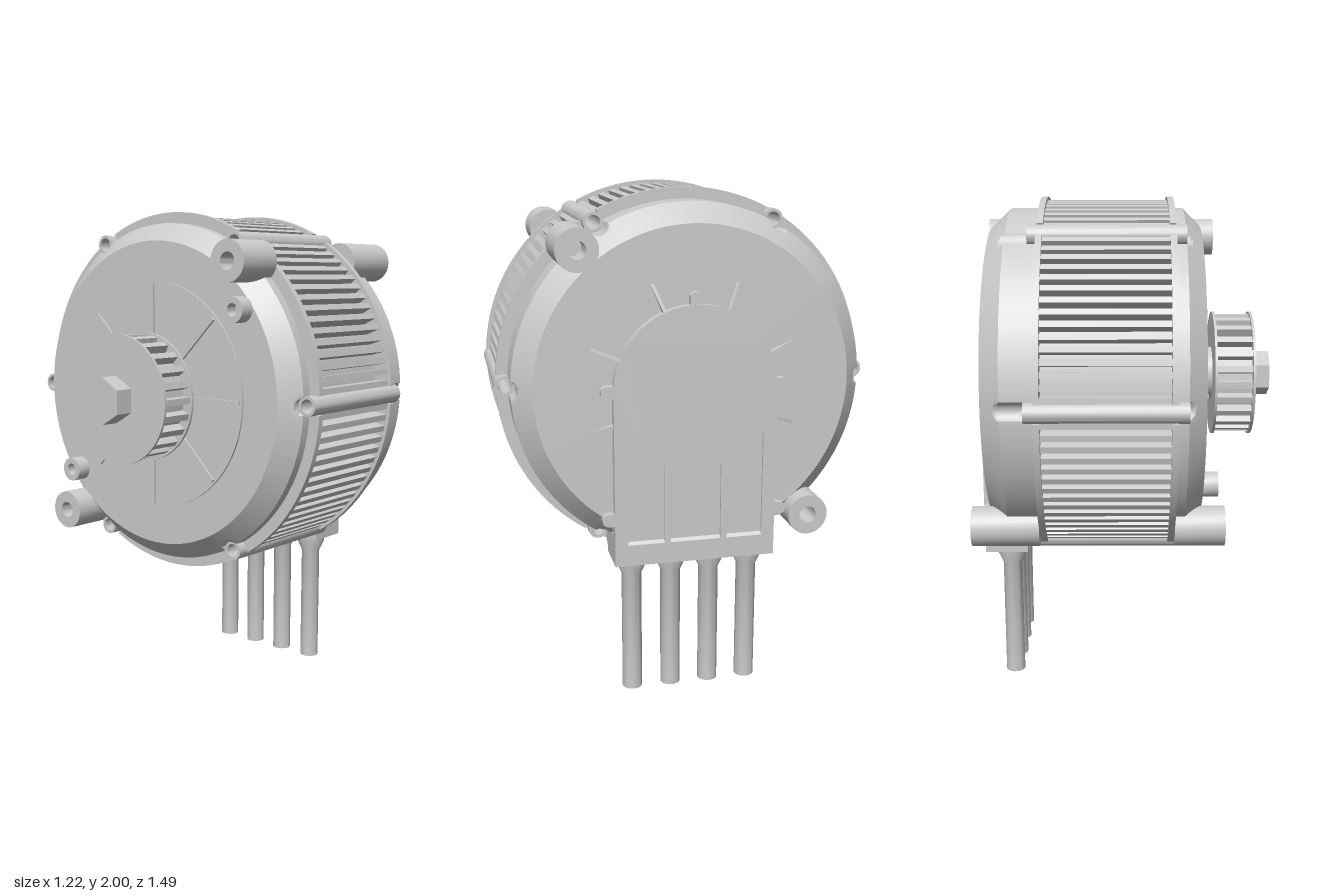
import * as THREE from 'three';
import { toCreasedNormals, mergeGeometries } from 'three/addons/utils/BufferGeometryUtils.js';

const material = new THREE.MeshStandardMaterial({ color: 0xcccccc });
const CY = 1.265;          // height of the motor axis
const BOLT_R = 0.705;      // bolt circle radius

// Everything is built with the motor axis along local z, then turned onto x.
export function createModel() {
  const model = new THREE.Group();
  model.name = 'electricMotor';
  const motor = new THREE.Group();
  motor.name = 'motor';
  motor.rotation.y = Math.PI / 2;
  model.add(motor);

  const add = (name, geometry, x = 0, y = 0, z = 0, parent = motor) => {
    const mesh = new THREE.Mesh(geometry, material);
    mesh.name = name;
    mesh.position.set(x, y, z);
    parent.add(mesh);
    return mesh;
  };
  // Lathe around the motor axis; points are [radius, axial position]
  const turn = (points, segments = 32) => toCreasedNormals(
    new THREE.LatheGeometry(points.map(p => new THREE.Vector2(...p)), segments).rotateX(Math.PI / 2), 0.5);
  const extrude = (shape, depth, curveSegments = 24) => toCreasedNormals(
    new THREE.ExtrudeGeometry(shape, { depth, bevelEnabled: false, curveSegments }), 0.5);
  const disc = (r, z0, z1, segments) => turn([[0, z0], [r, z0], [r, z1], [0, z1]], segments);
  const onCircle = (r, a) => [r * Math.cos(a), CY + r * Math.sin(a)];
  const boltAngles = [0, 1, 2, 3, 4, 5].map(i => i * Math.PI / 3);

  // Casing with chamfered ends, and a groove cut for each bolt
  const profile = [[0, -0.31], [0.62, -0.31], [0.64, -0.29], [0.655, -0.275], [0.665, -0.265], [0.677, -0.253],
    [0.69, -0.24], [0.69, -0.185], [0.66, -0.185], [0.66, 0.32], [0.69, 0.32], [0.69, 0.46], [0.68, 0.4707],
    [0.672, 0.479], [0.665, 0.4867], [0.64, 0.5133], [0.615, 0.54], [0, 0.54]];
  const casing = new THREE.LatheGeometry(profile.map(p => new THREE.Vector2(...p)), 360).rotateX(Math.PI / 2);
  const pos = casing.attributes.position;
  for (let i = 0; i < pos.count; i++) {
    const x = pos.getX(i), y = pos.getY(i), r = Math.hypot(x, y);
    const step = Math.PI / 3, a = Math.atan2(y, x);
    const off = BOLT_R * Math.sin(a - Math.round(a / step) * step);
    if (r > 0.6 && Math.abs(off) < 0.04) {
      const k = Math.min(1, (BOLT_R - Math.sqrt(0.0016 - off * off)) / r);
      pos.setXY(i, x * k, y * k);
    }
  }
  add('casing', toCreasedNormals(casing, 0.5), 0, CY);

  // Two flange rings drilled for the bolts
  const ring = new THREE.Shape().absarc(0, 0, 0.735, 0, Math.PI * 2);
  ring.holes.push(new THREE.Path().absarc(0, 0, 0.65, 0, Math.PI * 2));
  const flangeShape = new THREE.Shape();
  boltAngles.forEach((a, i) => {
    // rim arc between bolts, with a scallop where each bolt sleeve passes
    const g = 0.05;
    flangeShape.absarc(0, 0, 0.735, a + g, a + Math.PI / 3 - g, false);
    const b = a + Math.PI / 3;
    flangeShape.lineTo(0.67 * Math.cos(b - g), 0.67 * Math.sin(b - g));
    flangeShape.lineTo(0.67 * Math.cos(b + g), 0.67 * Math.sin(b + g));
  });
  flangeShape.closePath();
  flangeShape.holes = ring.holes;
  for (const z of [-0.2, 0.31]) add('flangeRing', extrude(flangeShape, 0.025, 40), 0, CY, z);

  // Hollow bolt sleeves
  const sleeve = turn([[0.027, -0.24], [0.039, -0.24], [0.039, 0.37], [0.027, 0.37], [0.027, -0.24]], 24);
  for (const a of boltAngles) add('boltSleeve', sleeve, ...onCircle(BOLT_R, a));

  // Cooling fins, skipping the bolt positions
  const finParts = [];
  for (let i = 0; i < 96; i++) {
    if (i % 16 === 0) continue;
    finParts.push(new THREE.BoxGeometry(0.07, 0.024, 0.5).translate(0.686, 0, 0.063).rotateZ(i * Math.PI / 48));
  }
  add('coolingFins', mergeGeometries(finParts), 0, CY);

  // Mounting lugs with blind holes, on both ends
  const lug = (d) => turn([[0, 0], [0.08, 0], [0.08, d], [0.034, d], [0.034, d - 0.12], [0, d - 0.12]], 32);
  for (const [x, y] of [[-0.45, 1.8], [0.45, 0.735]]) {
    add('rightMountingLug', lug(0.27), x, y, 0.335);
    add('leftMountingLug', lug(0.2), x, y, -0.2).rotation.y = Math.PI;
  }
  // Small threaded bosses on the left face
  const boss = turn([[0, 0], [0.05, 0], [0.05, 0.07], [0.025, 0.07], [0.025, 0.02], [0, 0.02]], 24);
  for (const [x, y] of [[-0.45, 1.62], [0.45, 0.91]]) add('threadedBoss', boss, x, y, -0.3).rotation.y = Math.PI;

  // Left end plate with radial ribs
  add('endPlate', disc(0.46, -0.318, -0.3, 64), 0, CY);
  for (let i = 0; i < 8; i++) {
    const a = i * Math.PI / 4;
    add('endPlateRib', new THREE.BoxGeometry(0.34, 0.014, 0.02), ...onCircle(0.28, a), -0.318).rotation.z = a;
  }

  // Drive pulley, hub and hexagonal nut
  const pulley = new THREE.Group();
  pulley.name = 'drivePulley';
  pulley.position.y = CY;
  motor.add(pulley);
  add('hub', disc(0.11, -0.38, -0.31), 0, 0, 0, pulley);
  const gear = new THREE.Shape();
  for (let i = 0; i < 24; i++) {
    [[-0.27, 0.215], [-0.2, 0.25], [0.2, 0.25], [0.27, 0.215]].forEach(([f, r], j) => {
      const a = (i + f) * Math.PI / 12;
      gear[i + j ? 'lineTo' : 'moveTo'](r * Math.cos(a), r * Math.sin(a));
    });
  }
  add('pulleyTeeth', extrude(gear, 0.15), 0, 0, -0.525, pulley);
  add('outerPulleyFlange', disc(0.26, -0.535, -0.525, 48), 0, 0, 0, pulley);
  add('innerPulleyFlange', disc(0.26, -0.38, -0.37, 48), 0, 0, 0, pulley);
  add('shaftNut', toCreasedNormals(new THREE.CylinderGeometry(0.094, 0.094, 0.08, 6).rotateX(Math.PI / 2), 0.3),
    0, 0, -0.572, pulley);

  // Arched terminal cover with three recessed panels
  const arch = (w, bottom) => {
    const s = new THREE.Shape();
    s.moveTo(-w, bottom);
    s.lineTo(w, bottom);
    s.lineTo(w, CY);
    s.absarc(0, CY, w, 0, Math.PI, false);
    s.closePath();
    return s;
  };
  add('coverBase', extrude(arch(0.32, 0.57), 0.045), 0, 0, 0.52);
  const face = arch(0.32, 0.57);
  for (const [u0, u1] of [[-0.268, -0.125], [-0.1, 0.1], [0.125, 0.268]]) {
    const panel = new THREE.Path();
    panel.moveTo(u0, 0.635);
    panel.lineTo(u1, 0.635);
    for (let i = 0; i <= 8; i++) {
      const u = u1 + (u0 - u1) * i / 8;
      panel.lineTo(u, CY - Math.sqrt(0.1024 - u * u));
    }
    panel.closePath();
    face.holes.push(panel);
  }
  add('coverFace', extrude(face, 0.01), 0, 0, 0.565);

  // Cover screw tabs
  const tab = disc(0.025, 0.52, 0.57, 20);
  for (const [x, y] of [[0, 1.608], [-0.342, CY], [0.342, CY], [-0.342, 0.76], [0.342, 0.76]]) {
    add('coverTab', tab, x, y);
    add('coverTabWeb', new THREE.BoxGeometry(0.05, 0.05, 0.05), x * 0.93, y === 1.608 ? 1.583 : y, 0.545);
  }
  // Tapered gussets around the arch
  const wedge = new THREE.Shape([[0.31, 0.53], [0.43, 0.53], [0.43, 0.541], [0.31, 0.572]].map(p => new THREE.Vector2(...p)));
  const gusset = extrude(wedge, 0.012).translate(0, 0, -0.006).rotateX(Math.PI / 2);
  for (const deg of [-22.5, 22.5, 67.5, 112.5, 157.5, 202.5]) {
    add('coverGusset', gusset, 0, CY).rotation.z = THREE.MathUtils.degToRad(deg);
  }

  // Terminal block below the cover; outline is [axial, height]
  const outline = new THREE.Shape([[0.4, 0.57], [0.575, 0.57], [0.575, 0.655], [0.55, 0.685], [0.39, 0.685],
    [0.37, 0.665], [0.37, 0.615], [0.4, 0.595]].map(p => new THREE.Vector2(...p)));
  add('terminalBlock', extrude(outline, 0.64).translate(0, 0, -0.32).rotateY(-Math.PI / 2));

  // Four cables with flared strain reliefs
  const cable = toCreasedNormals(new THREE.LatheGeometry(
    [[0, 0], [0.04, 0], [0.04, 0.5], [0.06, 0.545], [0.06, 0.58], [0, 0.58]].map(p => new THREE.Vector2(...p)), 24), 0.5);
  for (const x of [-0.238, -0.079, 0.079, 0.238]) add('cable', cable, x, 0, 0.472);

  return model;
}
